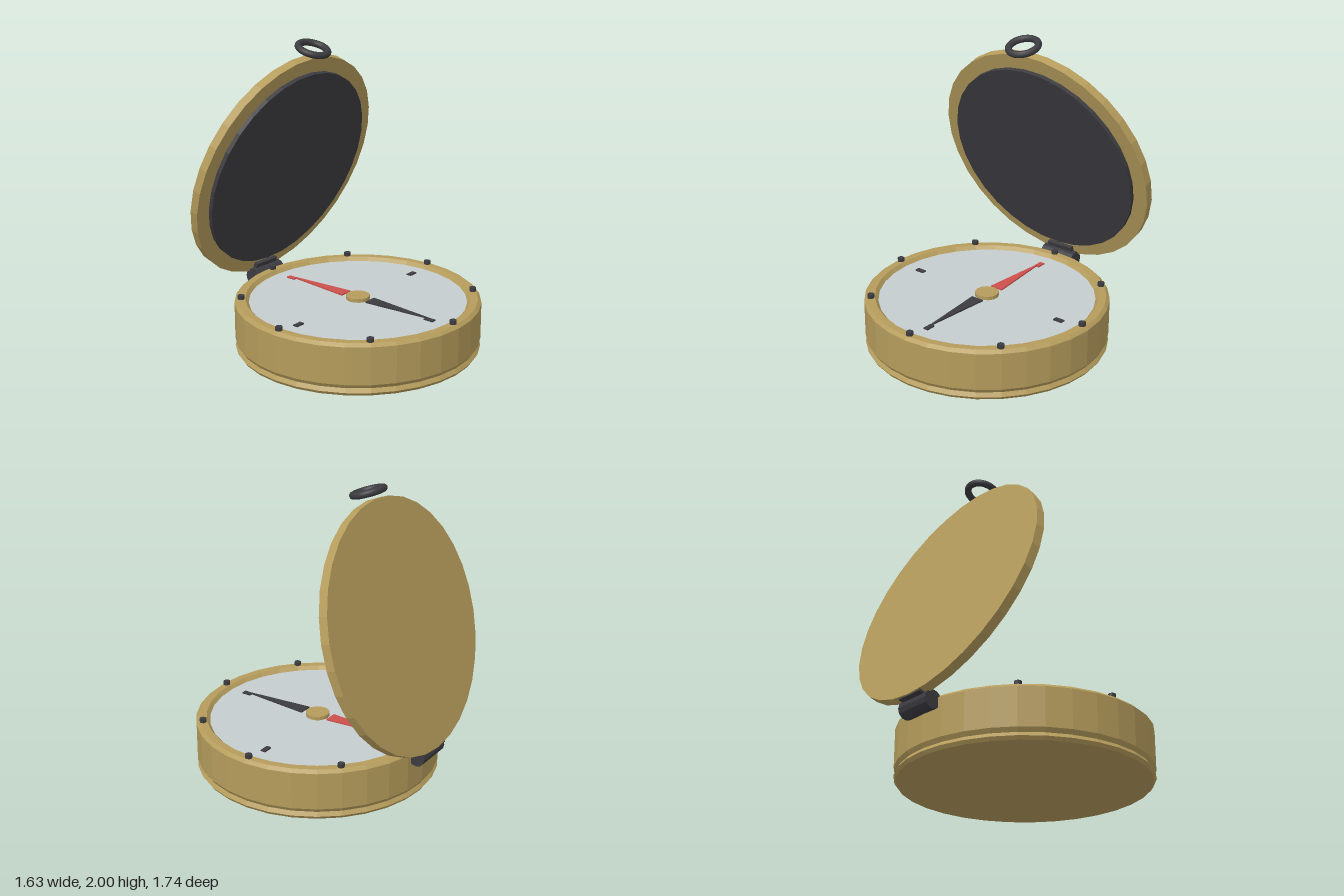
import * as THREE from 'three';

const mat = (name, color) => {
  const m = new THREE.MeshStandardMaterial({ color });
  m.name = name;
  return m;
};

// Faceted copy of a geometry
const faceted = (g) => {
  const f = g.toNonIndexed();
  f.computeVertexNormals();
  return f;
};

export function createModel() {
  const brass = mat('brass', 0xb59c5c);
  const dark = mat('darkMetal', 0x3c3b40);
  const pale = mat('dialGrey', 0xc4ccce);
  const red = mat('needleRed', 0xcc4f4a);

  const add = (parent, name, geo, material, x = 0, y = 0, z = 0) => {
    const m = new THREE.Mesh(geo, material);
    m.name = name;
    m.position.set(x, y, z);
    parent.add(m);
    return m;
  };

  const model = new THREE.Group();
  model.name = 'pocketCompass';

  // Base: bowl with a grooved foot and bevelled rim
  const base = new THREE.Group();
  base.name = 'base';
  base.position.z = 0.06;
  model.add(base);
  const profile = [
    [0, 0], [0.8, 0], [0.815, 0.022], [0.798, 0.048], [0.815, 0.075],
    [0.815, 0.325], [0.793, 0.345], [0.744, 0.345], [0.72, 0.318],
  ].map(([r, y]) => new THREE.Vector2(r, y));
  add(base, 'case', faceted(new THREE.LatheGeometry(profile, 32)), brass);
  add(base, 'dial', faceted(new THREE.CylinderGeometry(0.722, 0.722, 0.02, 32)), pale, 0, 0.31);

  // Studs around the rim
  const studGeo = faceted(new THREE.CylinderGeometry(0.023, 0.023, 0.04, 8));
  for (let i = 0; i < 8; i++) {
    const a = (i * Math.PI) / 4;
    add(base, 'rimStud', studGeo, dark, Math.sin(a) * 0.77, 0.351, Math.cos(a) * 0.77);
  }

  // Dial marks at the four quarters, the north one red
  const markGeo = new THREE.BoxGeometry(0.035, 0.008, 0.066);
  for (let i = 0; i < 4; i++) {
    const a = (i * Math.PI) / 2;
    const m = add(base, 'dialMark', markGeo, i === 2 ? red : dark,
      Math.sin(a) * 0.588, 0.324, Math.cos(a) * 0.588);
    m.rotation.y = a;
  }

  // Needle halves and hub
  const half = new THREE.Shape([
    new THREE.Vector2(-0.046, -0.1), new THREE.Vector2(-0.004, -0.56),
    new THREE.Vector2(0.004, -0.56), new THREE.Vector2(0.046, -0.1),
  ]);
  const needleGeo = new THREE.ExtrudeGeometry(half, { depth: 0.009, bevelEnabled: false });
  needleGeo.rotateX(-Math.PI / 2);
  add(base, 'southNeedle', needleGeo, dark, 0, 0.327);
  add(base, 'northNeedle', needleGeo, red, 0, 0.327).rotation.y = Math.PI;
  add(base, 'needleHub', faceted(new THREE.CylinderGeometry(0.08, 0.08, 0.028, 16)), brass, 0, 0.331);

  // Hinge barrel
  const barrelGeo = faceted(new THREE.CylinderGeometry(0.06, 0.06, 0.26, 12));
  barrelGeo.rotateZ(Math.PI / 2);
  add(model, 'hingeBarrel', barrelGeo, dark, 0, 0.307, -0.778);

  // Lid: leans forward, local +z is its inner face
  const lid = new THREE.Group();
  lid.name = 'lid';
  lid.position.set(0, 1.12, -0.585);
  lid.rotation.x = THREE.MathUtils.degToRad(18);
  model.add(lid);
  const disc = (r, t) => faceted(new THREE.CylinderGeometry(r, r, t, 32)).rotateX(Math.PI / 2);
  add(lid, 'lidPlate', disc(0.815, 0.06), brass);
  add(lid, 'lidLining', disc(0.713, 0.04), dark, 0, 0, 0.04);
  add(lid, 'hingeLeaf', new THREE.BoxGeometry(0.2, 0.075, 0.08), dark, 0, -0.782, 0.018);

  // Carrying ring
  add(lid, 'ring', new THREE.TorusGeometry(0.098, 0.023, 12, 32), dark, 0, 0.869, 0)
    .rotation.x = Math.PI / 2;

  return model;
}
